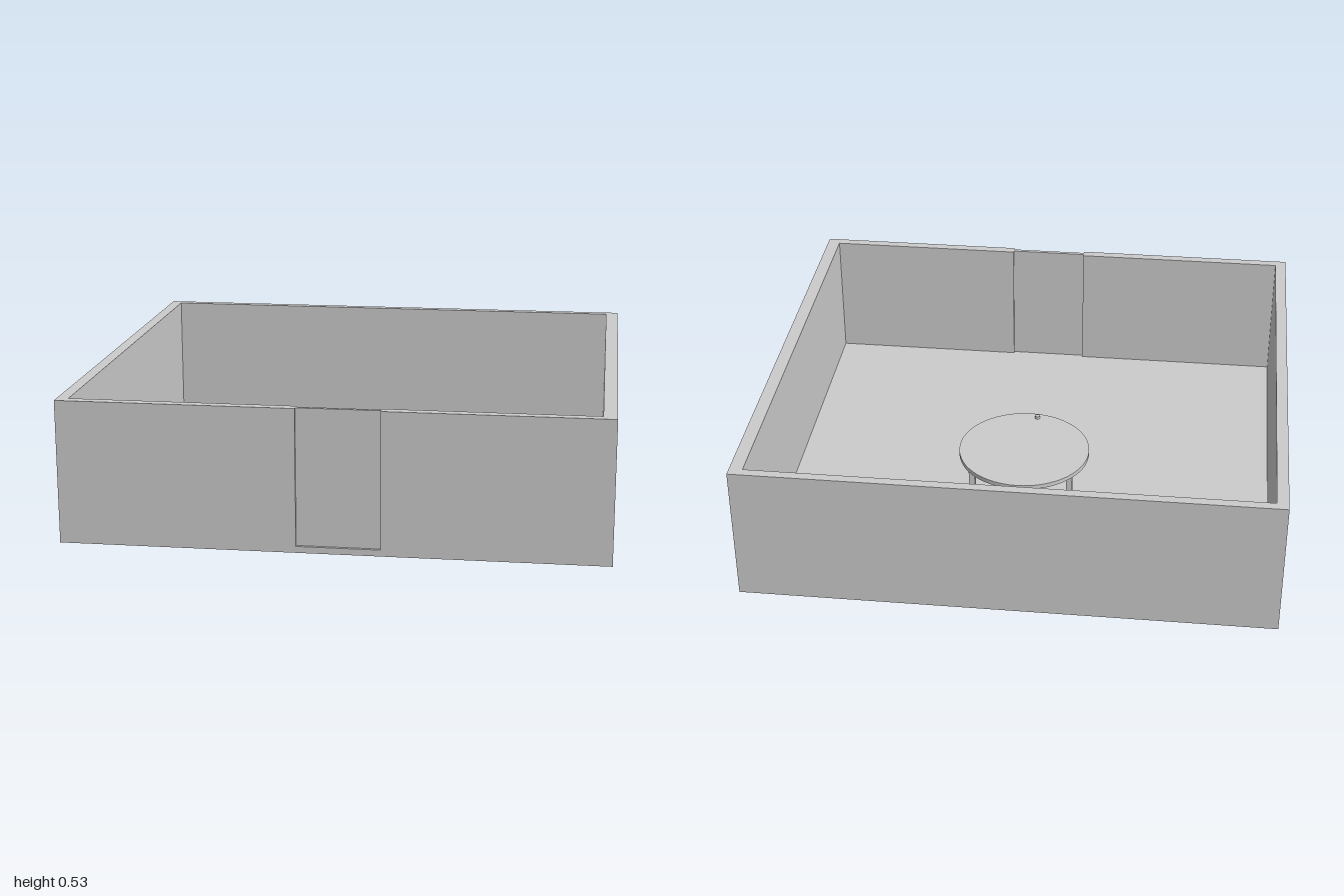
import * as THREE from 'three';

export function createModel() {
  const group = new THREE.Group();
  const material = new THREE.MeshStandardMaterial({ color: 0xcccccc });
  const add = (name, geometry, x = 0, y = 0, z = 0, parent = group) => {
    const mesh = new THREE.Mesh(geometry, material);
    mesh.name = name;
    mesh.position.set(x, y, z);
    parent.add(mesh);
    return mesh;
  };

  const height = 0.535, floorTop = 0.024, depth = 0.917;
  const doorLeft = 0.178, doorRight = -0.128;

  // Floor slab
  add('floor', new THREE.BoxGeometry(2, floorTop, depth * 2), 0, floorTop / 2, 0);

  // Walls: one footprint (x, -z) that runs round the room and is open at the doorway
  const footprint = [
    [doorLeft, -depth], [1, -depth], [1, depth], [-1, depth], [-1, -depth], [doorRight, -depth],
    [doorRight, -0.88], [-0.957, -0.88], [-0.957, 0.882], [0.95, 0.882], [0.95, -0.88], [doorLeft, -0.88],
  ].map(([x, y]) => new THREE.Vector2(x, y));
  const walls = new THREE.ExtrudeGeometry(new THREE.Shape(footprint), {
    depth: height - floorTop, bevelEnabled: false,
  });
  walls.rotateX(-Math.PI / 2);
  add('walls', walls, 0, floorTop, 0);

  // Door panel, set back from both wall faces
  add('door', new THREE.BoxGeometry(doorLeft - doorRight, height - floorTop, 0.015),
    (doorLeft + doorRight) / 2, (height + floorTop) / 2, 0.898);

  // Round table with four square legs and a small knob on top
  const table = new THREE.Group();
  table.name = 'table';
  table.position.set(0.026, floorTop, -0.058);
  group.add(table);
  const topHeight = 0.118, thickness = 0.018, legHeight = topHeight - thickness;
  add('tableTop', new THREE.CylinderGeometry(0.262, 0.262, thickness, 64),
    0, topHeight - thickness / 2, 0, table);
  for (const sx of [-1, 1]) {
    for (const sz of [-1, 1]) {
      add('tableLeg', new THREE.BoxGeometry(0.025, legHeight, 0.025),
        sx * 0.195, legHeight / 2, sz * 0.13, table);
    }
  }
  add('knob', new THREE.CylinderGeometry(0.01, 0.01, 0.012, 16),
    -0.029, topHeight + 0.006, 0.23, table);

  return group;
}
